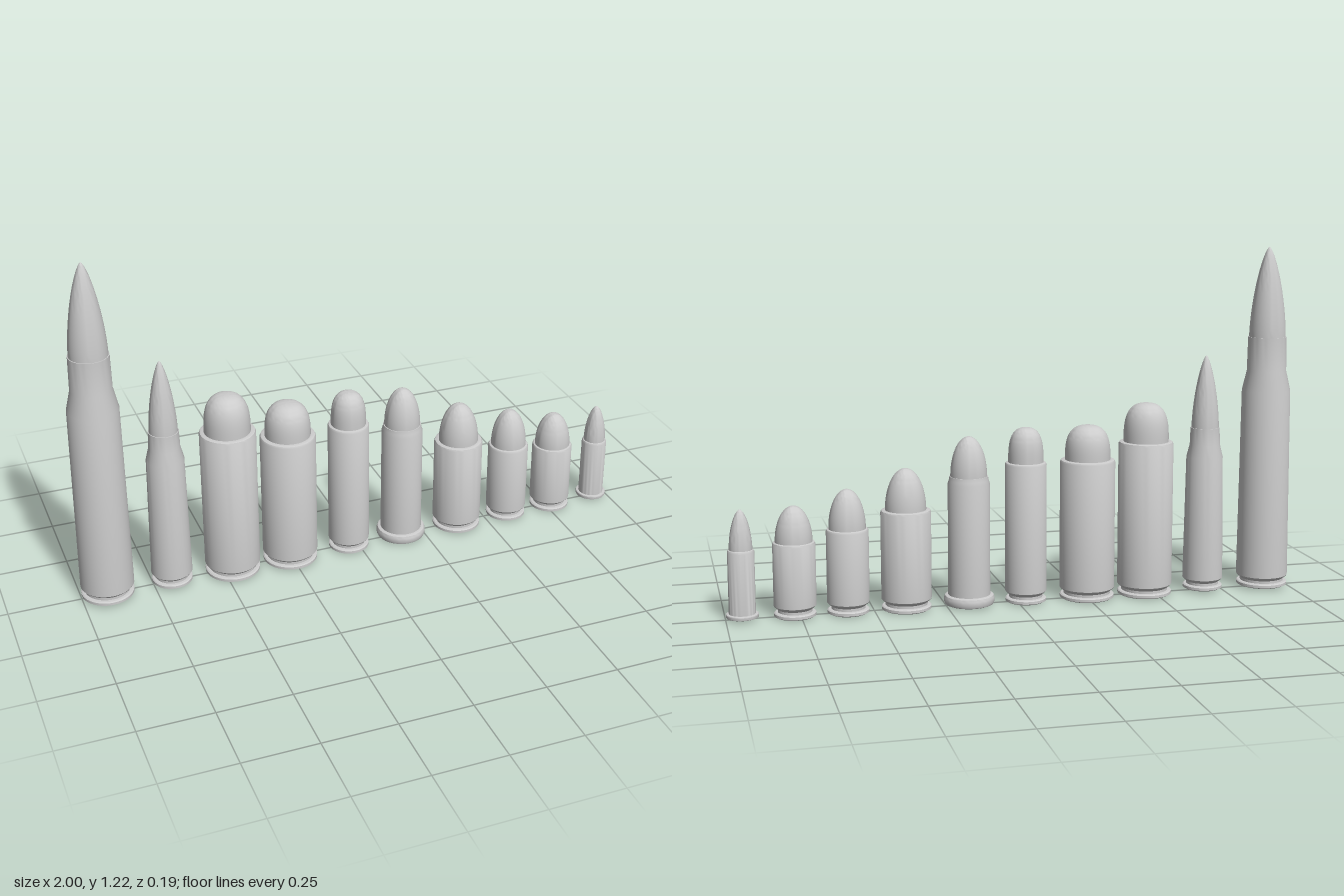
import * as THREE from 'three';
import { toCreasedNormals } from 'three/addons/utils/BufferGeometryUtils.js';

const SEGMENTS = 40;

// Turned part from [radius, height] pairs, bottom to top
function turned(name, points) {
  const lathe = new THREE.LatheGeometry(points.map(([r, y]) => new THREE.Vector2(r, y)), SEGMENTS);
  const material = new THREE.MeshStandardMaterial({ color: 0xcccccc });
  const mesh = new THREE.Mesh(toCreasedNormals(lathe, 0.5), material);
  mesh.name = name;
  return mesh;
}

// Foot of the case: extractor groove, thick rounded rim or thin rim
function basePoints(kind, r, y, rim) {
  if (kind === 'groove') {
    return [[0, y], [r - 0.008, y], [r - 0.001, y + 0.004], [r - 0.001, y + 0.013], [r - 0.005, y + 0.016],
      [r - 0.014, y + 0.017], [r - 0.014, y + 0.026], [r - 0.002, y + 0.036], [r, y + 0.039]];
  }
  const h = kind === 'rim' ? 0.036 : 0.014;
  const c = h * 0.3;
  return [[0, y], [rim - c, y], [rim - c * 0.3, y + c * 0.3], [rim, y + c], [rim, y + h - c],
    [rim - c * 0.3, y + h - c * 0.3], [rim - c, y + h], [r, y + h]];
}

// Nose curve: p and q set how blunt or slender it is
function nosePoints(r, y0, y1, p, q) {
  const points = [[r, y0 - 0.03]];
  const steps = 18;
  for (let i = 0; i <= steps; i++) {
    const t = Math.sin((i / steps) * Math.PI / 2);
    points.push([i === steps ? 0 : r * Math.pow(1 - Math.pow(t, p), q), y0 + t * (y1 - y0)]);
  }
  return points;
}

function cartridge(s) {
  const group = new THREE.Group();
  group.name = 'cartridge';
  const y = s.y ?? 0.003;
  const profile = basePoints(s.base ?? 'groove', s.r, y, s.rim);
  if (s.neck) {
    // Tapered body, sloping shoulder and narrow neck
    profile.push([s.bodyTop, s.shoulder[0]], [s.neck + 0.002, s.shoulder[1]], [s.neck, s.top], [s.nose - 0.004, s.top]);
  } else {
    // Straight body with a rounded lip
    profile.push([s.r, s.top - 0.008], [s.r - 0.003, s.top - 0.002], [s.r - 0.007, s.top], [s.nose - 0.004, s.top]);
  }
  group.add(turned('case', profile));
  group.add(turned('bullet', nosePoints(s.nose, s.top, s.tip, s.p, s.q)));
  group.position.x = s.x;
  return group;
}

const BLUNT = { p: 3, q: 0.38 };
const ROUND = { p: 2, q: 0.5 };
const SLENDER = { p: 1.6, q: 0.7 };

const CARTRIDGES = [
  // Bottlenecked
  { x: -0.909, r: 0.091, y: 0.01, bodyTop: 0.085, shoulder: [0.715, 0.785], neck: 0.067, nose: 0.064, top: 0.905, tip: 1.22, ...SLENDER },
  { x: -0.683, r: 0.071, y: 0.01, bodyTop: 0.064, shoulder: [0.485, 0.53], neck: 0.051, nose: 0.048, top: 0.59, tip: 0.845, ...SLENDER },
  // Straight, blunt nose
  { x: -0.465, r: 0.096, nose: 0.079, top: 0.55, tip: 0.685, ...BLUNT },
  { x: -0.253, r: 0.096, nose: 0.079, top: 0.495, tip: 0.615, ...BLUNT },
  { x: -0.032, r: 0.072, nose: 0.061, top: 0.495, tip: 0.615, ...BLUNT },
  // Thick rim, round nose
  { x: 0.169, r: 0.073, base: 'rim', rim: 0.087, y: 0.006, bodyTop: 0.072, shoulder: [0.43, 0.442], neck: 0.066, nose: 0.063, top: 0.455, tip: 0.592, ...ROUND },
  // Straight, round nose
  { x: 0.388, r: 0.086, nose: 0.07, top: 0.35, tip: 0.492, ...ROUND },
  { x: 0.588, r: 0.072, nose: 0.063, top: 0.295, tip: 0.43, ...ROUND },
  { x: 0.768, r: 0.072, nose: 0.063, top: 0.26, tip: 0.382, ...ROUND },
  // Smallest, thin rim
  { x: 0.944, r: 0.045, base: 'thin', rim: 0.055, y: 0.01, nose: 0.039, top: 0.243, tip: 0.378, p: 1.8, q: 0.6 },
];

export function createModel() {
  const model = new THREE.Group();
  model.name = 'cartridgeRow';
  for (const spec of CARTRIDGES) model.add(cartridge(spec));
  return model;
}
